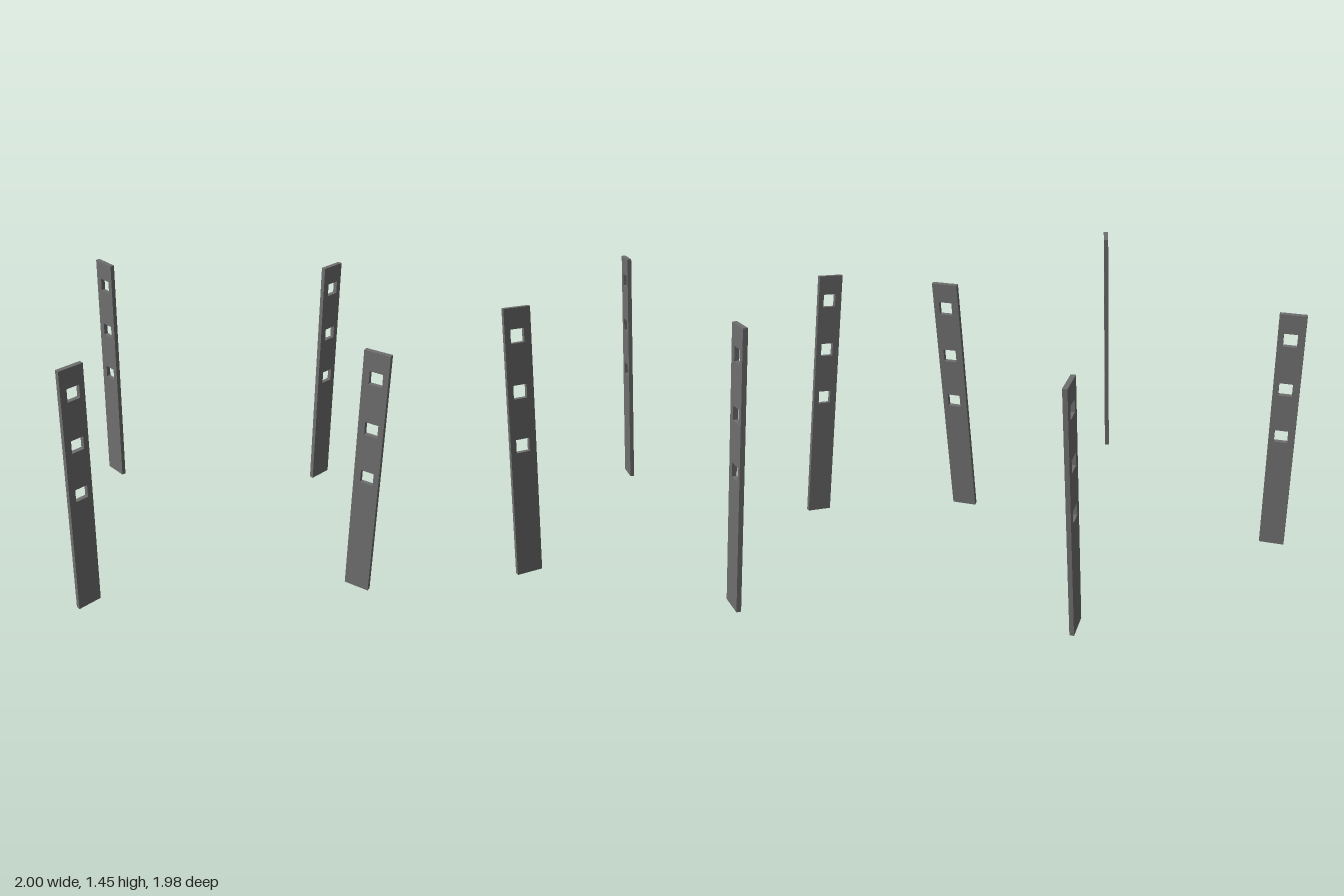
import * as THREE from 'three';

const WIDTH = 0.142, HEIGHT = 1.453, THICK = 0.025;
const HOLE = 0.073, HOLE_X = 0.004, HOLE_HEIGHTS = [0.727, 1.018, 1.309];

// Upright slat with three square holes in its upper half
function slatGeometry() {
  const w = WIDTH / 2, left = HOLE_X - HOLE / 2, right = HOLE_X + HOLE / 2, h = HOLE / 2;
  const shape = new THREE.Shape([
    new THREE.Vector2(-w, 0), new THREE.Vector2(w, 0),
    new THREE.Vector2(w, HEIGHT), new THREE.Vector2(-w, HEIGHT),
  ]);
  for (const y of HOLE_HEIGHTS) {
    shape.holes.push(new THREE.Path([
      new THREE.Vector2(left, y - h), new THREE.Vector2(left, y + h),
      new THREE.Vector2(right, y + h), new THREE.Vector2(right, y - h),
    ]));
  }
  const geometry = new THREE.ExtrudeGeometry(shape, { depth: THICK, bevelEnabled: false });
  geometry.translate(0, 0, -THICK / 2);
  return geometry;
}

export function createModel() {
  const group = new THREE.Group();
  group.name = 'slottedPosts';
  const material = new THREE.MeshStandardMaterial({ color: 0x6f6f6f });
  const geometry = slatGeometry();

  // Four posts around a circle: name, x, z, turn in degrees
  const posts = [
    ['leftPost', 0.929, -0.025, 0],
    ['rightPost', -0.929, -0.222, -15],
    ['backPost', 0.208, -0.916, 75],
    ['frontPost', -0.235, 0.916, 75],
  ];
  for (const [name, x, z, turn] of posts) {
    const post = new THREE.Mesh(geometry, material);
    post.name = name;
    post.position.set(x, 0, z);
    post.rotation.y = THREE.MathUtils.degToRad(turn);
    group.add(post);
  }
  return group;
}
